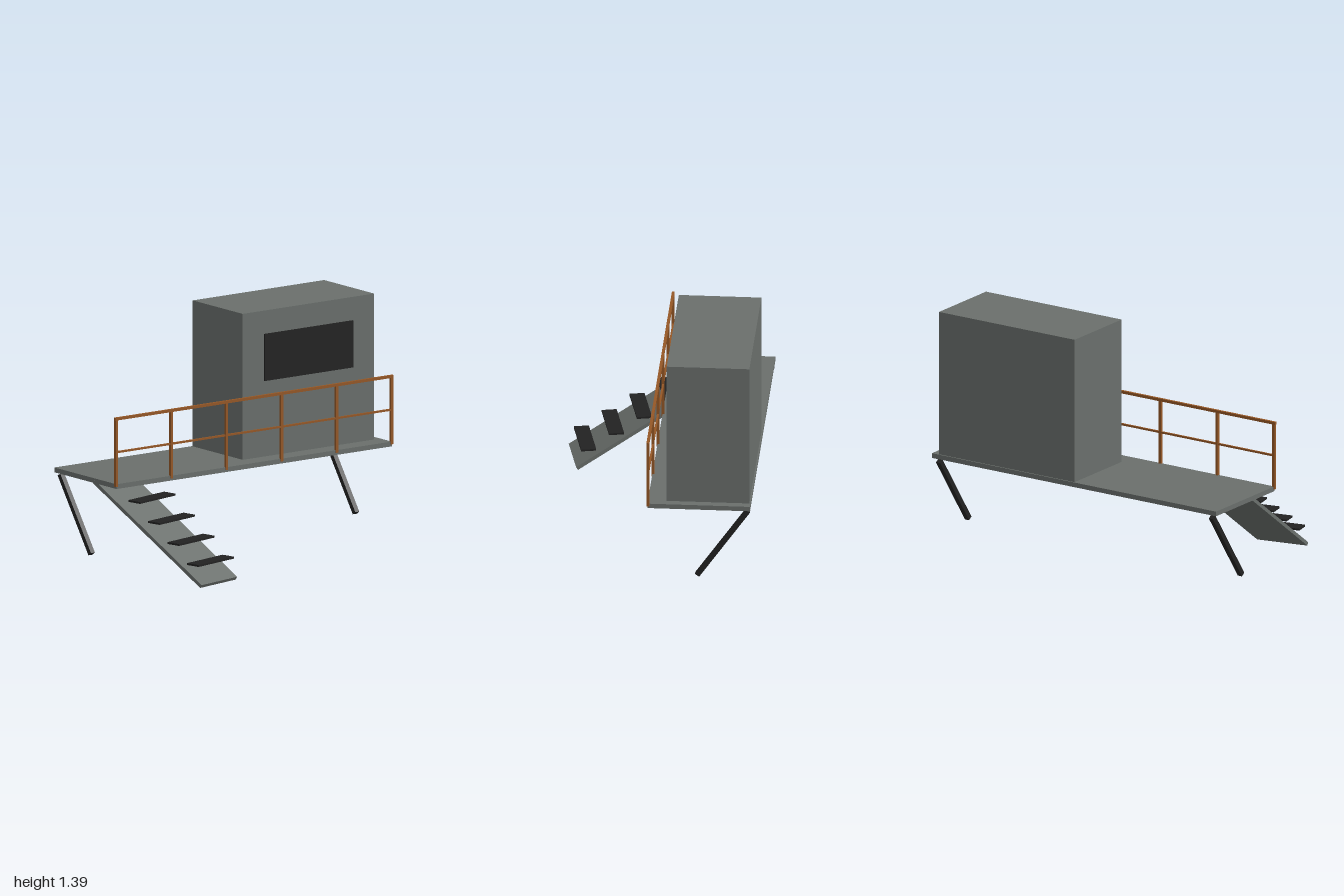
import * as THREE from 'three';

export function createModel() {
  const model = new THREE.Group();
  model.name = 'raisedCabinPlatform';

  const paint = (name, color) => {
    const m = new THREE.MeshStandardMaterial({ color });
    m.name = name;
    return m;
  };
  const grey = paint('concreteGrey', 0x6a6f6c);
  const black = paint('charcoalBlack', 0x222222);
  const rust = paint('rustBrown', 0x955726);

  // Box centred on (x, y, z)
  const box = (name, material, [w, h, d], [x, y, z], parent = model) => {
    const mesh = new THREE.Mesh(new THREE.BoxGeometry(w, h, d), material);
    mesh.name = name;
    mesh.position.set(x, y, z);
    parent.add(mesh);
    return mesh;
  };

  // Deck and cabin
  box('deck', grey, [1.98, 0.028, 0.59], [0, 0.521, -0.295]);
  box('cabin', grey, [0.945, 0.855, 0.475], [0.4725, 0.9625, -0.3455]);
  box('window', black, [0.635, 0.275, 0.009], [0.471, 1.116, -0.1035]);

  // Railing along the front edge
  const railing = new THREE.Group();
  railing.name = 'railing';
  model.add(railing);
  const railZ = -0.003;
  for (let i = 0; i < 6; i++) {
    box('railingPost', rust, [0.016, 0.4, 0.016], [-0.99 + i * 0.396, 0.72, railZ], railing);
  }
  box('topRail', rust, [2, 0.016, 0.016], [0, 0.917, railZ], railing);
  box('middleRail', rust, [1.98, 0.011, 0.011], [0, 0.722, railZ], railing);

  // Slanting back legs
  for (const x of [-0.953, 0.948]) {
    const leg = box('leg', black, [0.029, 0.51, 0.029], [x, 0.284, -0.43]);
    leg.rotation.x = -0.61;
  }

  // Ramp, turned slightly and rising under the deck
  const turn = 0.21, slope = 0.554, length = 0.957, thick = 0.021;
  const ramp = new THREE.Group();
  ramp.name = 'ramp';
  ramp.position.set(-0.668, 0.02, 0.553);
  ramp.rotation.y = turn;
  model.add(ramp);
  const incline = new THREE.Group();
  incline.name = 'rampIncline';
  incline.rotation.x = slope;
  ramp.add(incline);
  box('rampSlab', grey, [0.312, thick, length], [0, -thick / 2, -length / 2], incline);

  // Level treads
  for (let i = 0; i < 4; i++) {
    const tread = box('tread', black, [0.312, 0.011, 0.087],
      [-0.738 + i * 0.0205, 0.425 - i * 0.0993, 0.0055 + i * 0.1585]);
    tread.rotation.y = turn;
  }

  return model;
}
